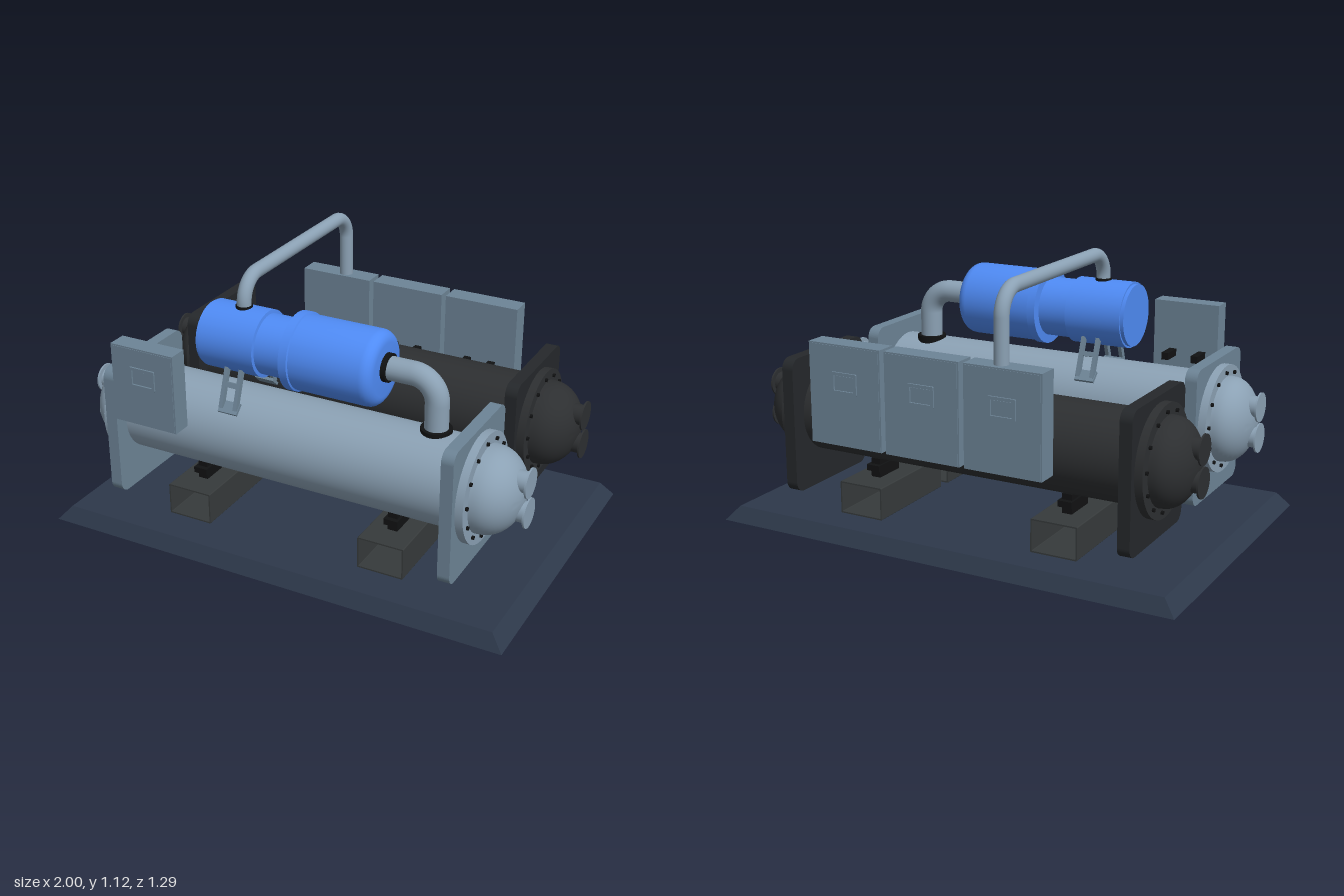
import * as THREE from 'three';
import { toCreasedNormals } from 'three/addons/utils/BufferGeometryUtils.js';

const paint = (color, side = THREE.FrontSide) => new THREE.MeshStandardMaterial({ color, side });
const STEEL = paint(0x8ba1b4), PANEL = paint(0x6d8496), BLUE = paint(0x4f8bf5);
const DARK = paint(0x2d2f31), DARKPLATE = paint(0x25282b), BLACK = paint(0x111213);
const BASE = paint(0x2d384a), FOOT = paint(0x363a3b);

function add(parent, name, geo, mat, x = 0, y = 0, z = 0) {
  const m = new THREE.Mesh(geo, mat);
  m.name = name;
  m.position.set(x, y, z);
  parent.add(m);
  return m;
}

function group(parent, name, x = 0, y = 0, z = 0) {
  const g = new THREE.Group();
  g.name = name;
  g.position.set(x, y, z);
  parent.add(g);
  return g;
}

const box = (w, h, d) => new THREE.BoxGeometry(w, h, d);

// Cylinder lying along x
const rod = (r, len, seg = 32) => new THREE.CylinderGeometry(r, r, len, seg).rotateZ(-Math.PI / 2);

// Profile of [radius, x] pairs turned about the x axis
function turned(profile) {
  const pts = profile.map(([r, x]) => new THREE.Vector2(r, x));
  const geo = new THREE.LatheGeometry(pts, 48).rotateZ(-Math.PI / 2);
  return toCreasedNormals(geo, 0.6);
}

function roundedRect(w, h, r) {
  const s = new THREE.Shape(), a = w / 2, b = h / 2;
  s.absarc(a - r, b - r, r, 0, Math.PI / 2);
  s.absarc(-a + r, b - r, r, Math.PI / 2, Math.PI);
  s.absarc(-a + r, -b + r, r, Math.PI, Math.PI * 1.5);
  s.absarc(a - r, -b + r, r, Math.PI * 1.5, Math.PI * 2);
  return s;
}

// Rectangular frame with an open middle, extruded along z
function frame(w, h, wall, depth, r = 0.004) {
  const s = roundedRect(w, h, r);
  s.holes.push(roundedRect(w - 2 * wall, h - 2 * wall, r / 2));
  return new THREE.ExtrudeGeometry(s, { depth, bevelEnabled: false, curveSegments: 4 }).translate(0, 0, -depth / 2);
}

// Straight runs joined by round bends of the given radius
function pipe(points, bend, r) {
  const p = points.map(a => new THREE.Vector3(...a));
  const path = new THREE.CurvePath();
  let from = p[0];
  for (let i = 1; i < p.length - 1; i++) {
    const u = p[i - 1].clone().sub(p[i]).normalize(), v = p[i + 1].clone().sub(p[i]).normalize();
    const a = p[i].clone().addScaledVector(u, bend), b = p[i].clone().addScaledVector(v, bend);
    const k = bend * 0.448;
    path.add(new THREE.LineCurve3(from, a));
    path.add(new THREE.CubicBezierCurve3(a, p[i].clone().addScaledVector(u, k), p[i].clone().addScaledVector(v, k), b));
    from = b;
  }
  path.add(new THREE.LineCurve3(from, p[p.length - 1]));
  return new THREE.TubeGeometry(path, 120, r, 24);
}

// Domed, bolted end cover with two nozzles, facing +x from its plate
function endCover(parent, name, x, dir, depth, mat) {
  const g = group(parent, name, x);
  if (dir < 0) g.rotation.y = Math.PI;
  add(g, 'coverFlange', rod(0.22, 0.032, 48), mat, 0.016);
  const dome = [[0.175, 0.03]];
  for (let i = 0; i <= 14; i++) {
    const a = i / 14 * Math.PI / 2;
    dome.push([0.174 * Math.cos(a), 0.045 + (depth - 0.045) * Math.sin(a)]);
  }
  add(g, 'dome', turned(dome), mat);
  for (let i = 0; i < 13; i++) {
    const a = i / 13 * Math.PI * 2 + 0.06;
    add(g, 'bolt', rod(0.008, 0.012, 8), BLACK, 0.035, 0.192 * Math.cos(a), 0.192 * Math.sin(a));
  }
  for (const y of [0.067, -0.06]) {
    add(g, 'nozzleNeck', rod(0.042, 0.09), mat, depth - 0.03, y);
    add(g, 'nozzleFlange', rod(0.06, 0.007), mat, depth + 0.0165, y);
  }
}

// Horizontal vessel with end plates, covers and feet
function vessel(parent, name, z, mat, plateMat, footZ) {
  const g = group(parent, name, 0, 0.455, z);
  add(g, 'shell', rod(0.182, 1.45, 64), mat, -0.022);
  const plate = new THREE.ExtrudeGeometry(roundedRect(0.488, 0.56, 0.045), { depth: 0.05, bevelEnabled: false })
    .translate(0, 0, -0.025).rotateY(Math.PI / 2);
  for (const x of [-0.76, 0.715]) add(g, 'endPlate', plate, plateMat, x, -0.033);
  endCover(g, 'rightCover', -0.785, -1, 0.16, mat);
  endCover(g, 'leftCover', 0.74, 1, 0.188, mat);
  for (const x of [-0.447, 0.422]) {
    add(parent, 'foot', frame(0.196, 0.135, 0.006, 0.455), FOOT, x, 0.1375, footZ);
    add(parent, 'saddle', box(0.042, 0.085, 0.14), BLACK, x, 0.242, z);
    add(parent, 'saddlePad', box(0.06, 0.025, 0.18), BLACK, x, 0.248, z);
  }
}

// Control cabinet with door, display and standoffs; dir is the side its door faces
function cabinet(parent, name, x, y, z, w, h, d, dir, pegs, pegLength) {
  const g = group(parent, name, x, y, z);
  if (dir < 0) g.rotation.y = Math.PI;
  add(g, 'case', box(w, h, d), PANEL);
  add(g, 'door', box(w - 0.012, h - 0.012, 0.004), PANEL, 0, 0, d / 2);
  add(g, 'displayFrame', frame(0.115, 0.085, 0.012, 0.012), PANEL, 0, h * 0.13, d / 2 + 0.003);
  add(g, 'display', box(0.085, 0.055, 0.004), PANEL, 0, h * 0.13, d / 2 + 0.002);
  for (const px of pegs)
    for (const py of [-0.06, 0.03])
      add(g, 'standoff', box(0.03, 0.03, pegLength), BLACK, px, -h * 0.25 + py, -d / 2 - pegLength / 2);
}

export function createModel() {
  const model = new THREE.Group();
  model.name = 'waterChiller';

  // Base slab with sloped edges
  const slab = box(2, 0.06, 1.29).toNonIndexed();
  const pos = slab.attributes.position;
  for (let i = 0; i < pos.count; i++)
    if (pos.getY(i) > 0) pos.setXYZ(i, pos.getX(i) * 0.947, 0.03, pos.getZ(i) * 0.945);
  slab.computeVertexNormals();
  add(model, 'base', slab, BASE, 0, 0.03, 0);

  vessel(model, 'frontVessel', 0.295, STEEL, PANEL, 0.245);
  vessel(model, 'rearVessel', -0.312, DARK, DARKPLATE, -0.265);

  // Compressor body
  const cz = 0.277, comp = group(model, 'compressor', 0, 0.84, cz);
  const profile = [[0, -0.425], [0.128, -0.425], [0.128, -0.41], [0.136, -0.41], [0.136, -0.167],
    [0.122, -0.165], [0.122, -0.04], [0.158, -0.038], [0.158, -0.003], [0.151, 0]];
  for (let i = 0; i <= 6; i++) {
    const a = i / 6 * Math.PI / 2;
    profile.push([0.106 + 0.045 * Math.cos(a), 0.297 + 0.045 * Math.sin(a)]);
  }
  profile.push([0, 0.342]);
  add(comp, 'housing', turned(profile), BLUE);

  // Discharge elbow
  add(model, 'dischargePipe', pipe([[0.33, 0.852, cz], [0.555, 0.852, cz], [0.555, 0.61, cz]], 0.1, 0.047), STEEL);
  add(model, 'outletCollar', rod(0.057, 0.024), BLACK, 0.35, 0.852, cz);
  add(model, 'inletCollar', new THREE.CylinderGeometry(0.062, 0.062, 0.03, 32), BLACK, 0.555, 0.634, cz);

  // Overhead pipe to the rear cabinets
  add(model, 'overheadPipe', pipe([[-0.276, 0.95, cz], [-0.276, 1.09, cz], [-0.276, 1.09, -0.58],
    [-0.276, 0.8, -0.58]], 0.1, 0.029), STEEL);
  add(model, 'overheadCollar', new THREE.CylinderGeometry(0.034, 0.034, 0.02, 24), BLACK, -0.276, 0.973, cz);

  // Splayed compressor support
  for (const s of [1, -1]) {
    const g = group(model, 'compressorBracket', -0.27, 0, cz);
    for (const x of [-0.032, 0.032])
      add(g, 'leg', box(0.016, 0.17, 0.022), PANEL, x, 0.675, s * 0.122).rotation.x = -s * 0.35;
    add(g, 'crossbar', box(0.08, 0.02, 0.02), PANEL, 0, 0.685, s * 0.118).rotation.x = -s * 0.35;
    add(g, 'footPlate', box(0.085, 0.012, 0.05), PANEL, 0, 0.598, s * 0.143).rotation.x = s * 0.75;
  }

  // Cabinets
  cabinet(model, 'frontCabinet', -0.548, 0.695, 0.558, 0.285, 0.33, 0.08, 1, [-0.075, 0.055], 0.09);
  for (const x of [-0.305, 0.04, 0.385])
    cabinet(model, 'rearCabinet', x, 0.613, -0.585, 0.325, 0.405, 0.088, -1, [-0.06, 0.05], 0.06);

  return model;
}
